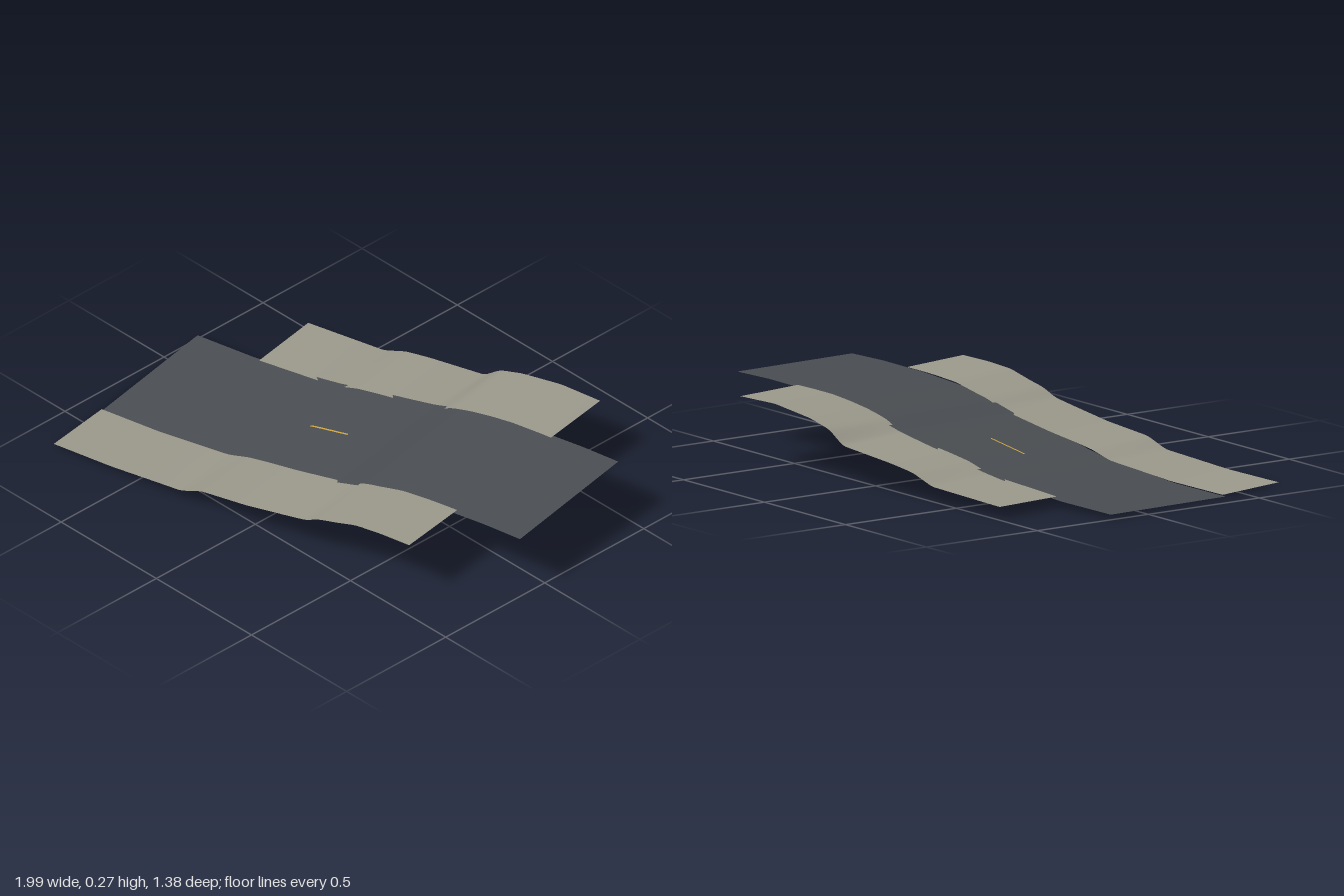
import * as THREE from 'three';

const sheetMaterial = (color) => new THREE.MeshStandardMaterial({ color, side: THREE.DoubleSide });

// Height profiles along the road: [distance, height]
const roadProfile = [[-0.963, 0.01], [-0.7, 0.022], [-0.4, 0.057], [-0.3, 0.073], [-0.2, 0.097], [0, 0.135],
  [0.12, 0.159], [0.25, 0.195], [0.4, 0.225], [0.6, 0.246], [0.8, 0.258], [0.963, 0.261]];
const backProfile = [[-0.67, 0.045], [-0.32, 0.07], [-0.22, 0.107], [-0.11, 0.125], [0.14, 0.155],
  [0.21, 0.205], [0.31, 0.233], [0.49, 0.26], [0.67, 0.262]];
const frontProfile = [[-0.963, 0.014], [-0.7, 0.025], [-0.49, 0.043], [-0.38, 0.052], [-0.29, 0.088], [-0.08, 0.113],
  [0.1, 0.145], [0.19, 0.162], [0.25, 0.19], [0.32, 0.207], [0.42, 0.235], [0.53, 0.245], [0.67, 0.25]];

function lerpProfile(points, u) {
  if (u <= points[0][0]) return points[0][1];
  for (let i = 1; i < points.length; i++) {
    const [u0, y0] = points[i - 1];
    const [u1, y1] = points[i];
    if (u <= u1) return y0 + (y1 - y0) * (u - u0) / (u1 - u0);
  }
  return points[points.length - 1][1];
}

// Slightly rounded profile
const height = (points, u) =>
  (lerpProfile(points, u - 0.015) + 2 * lerpProfile(points, u) + lerpProfile(points, u + 0.015)) / 4;

// The road banks gently down toward the front
const roadHeight = (u, w) => height(roadProfile, u) - 0.031 * w;

// Draped sheet over u (length) and w (width), heights given by a rule
function sheet(name, u0, u1, w0, w1, rule, material, segU = 96, segW = 6) {
  const geometry = new THREE.PlaneGeometry(u1 - u0, w1 - w0, segU, segW);
  geometry.rotateX(-Math.PI / 2);
  geometry.translate((u0 + u1) / 2, 0, (w0 + w1) / 2);
  const p = geometry.attributes.position;
  for (let i = 0; i < p.count; i++) p.setY(i, rule(p.getX(i), p.getZ(i)));
  geometry.computeVertexNormals();
  const mesh = new THREE.Mesh(geometry, material);
  mesh.name = name;
  return mesh;
}

// Verge: follows the road at its inner edge and its own bumpier profile outside
const vergeRule = (profile, inner, outer) => (u, w) => {
  const t = (w - inner) / (outer - inner);
  const blend = 0.55 + 0.45 * t;
  return (roadHeight(u, inner) + 0.002) * (1 - blend) + height(profile, u) * blend;
};

export function createModel() {
  const group = new THREE.Group();
  group.name = 'roadSection';

  const asphalt = sheetMaterial(0x4a4e52);
  const ground = sheetMaterial(0x9c998c);
  const paint = sheetMaterial(0xd0a83c);

  const road = new THREE.Group();
  road.name = 'road';
  road.add(
    sheet('roadSurface', -0.963, 0.963, -0.295, 0.295, roadHeight, asphalt),
    sheet('backVerge', -0.668, 0.668, -0.573, -0.278, vergeRule(backProfile, -0.278, -0.573), ground),
    sheet('frontVerge', -0.963, 0.664, 0.28, 0.568, vergeRule(frontProfile, 0.28, 0.568), ground),
    // Short painted centre line
    sheet('centreLine', -0.22, -0.05, -0.004, 0.004, (u, w) => roadHeight(u, w) + 0.0015, paint, 12, 1),
  );

  // The road runs diagonally across the plot
  road.rotation.y = THREE.MathUtils.degToRad(8.8);
  road.position.z = -0.022;
  group.add(road);
  return group;
}
